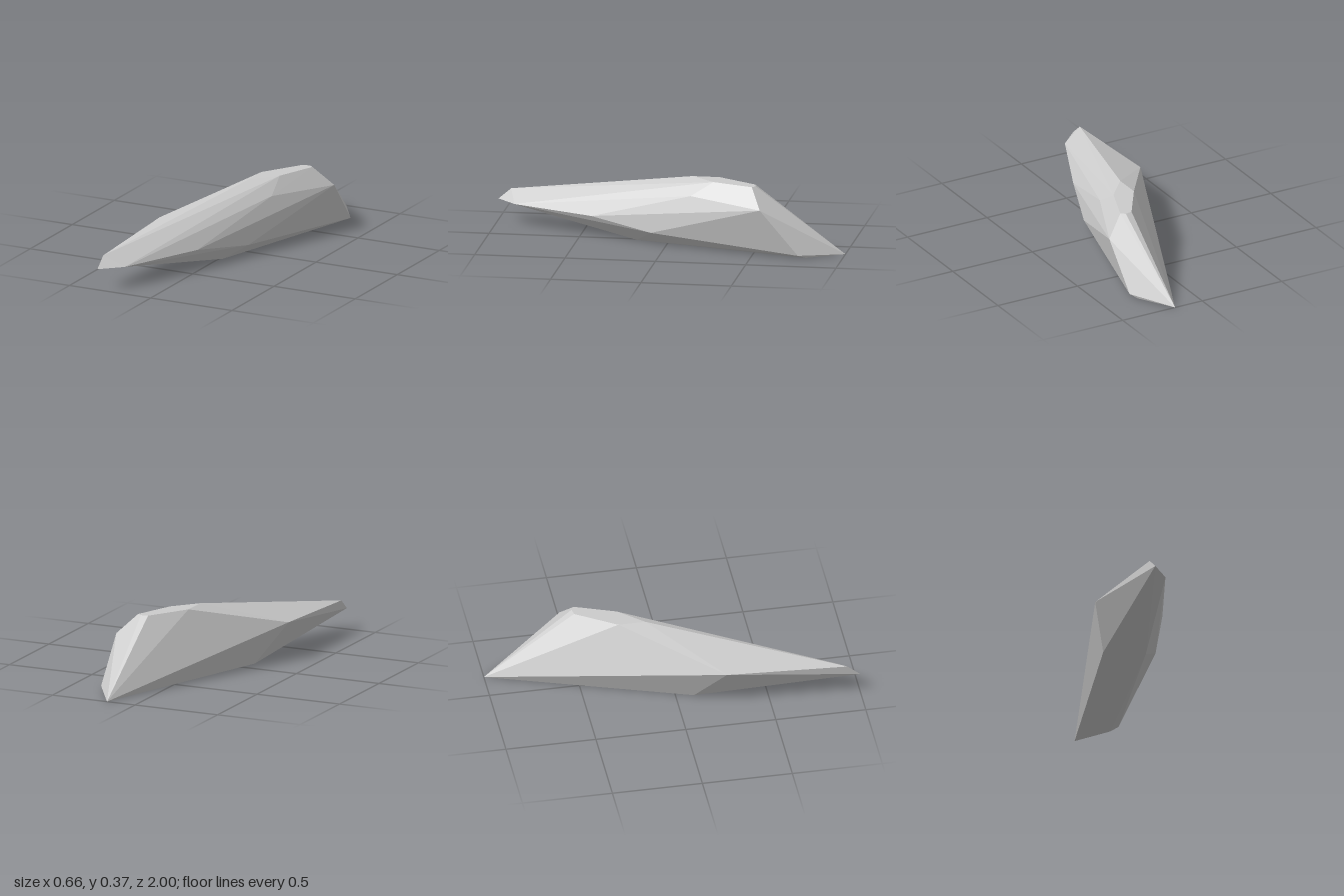
import * as THREE from 'three';
import { ConvexGeometry } from 'three/addons/geometries/ConvexGeometry.js';

// Faceted, slanted rock: the convex hull of a few corner points
export function createModel() {
  const group = new THREE.Group();
  group.name = 'rock';

  const stone = new THREE.MeshStandardMaterial({ color: 0xcccccc });
  stone.name = 'pale stone grey';

  const corners = [
    // pointed front end
    [-0.328, 0.118, 1], [-0.328, 0.178, 0.93], [-0.213, 0.118, 0.893],
    // flat top
    [0.02, 0.37, -0.28], [0.02, 0.37, -0.13], [0.14, 0.37, -0.265],
    [0.225, 0.37, -0.49], [0.2, 0.37, -0.507], [0.16, 0.37, -0.5],
    // outer shoulders
    [-0.328, 0.21, 0.26], [0.155, 0.29, -0.14], [0.328, 0.265, -0.55],
    // lower side ridge
    [-0.005, 0.118, 0.435], [0.127, 0.068, 0.085], [0.32, 0.017, -0.76],
    // flat base and back tip
    [0.02, 0, 0.18], [-0.13, 0, 0.26], [-0.2, 0, 0.1],
    [0.17, 0, -1], [0.29, 0, -0.8],
  ].map((p) => new THREE.Vector3(...p));

  const body = new THREE.Mesh(new ConvexGeometry(corners), stone);
  body.name = 'rockBody';
  group.add(body);
  return group;
}
